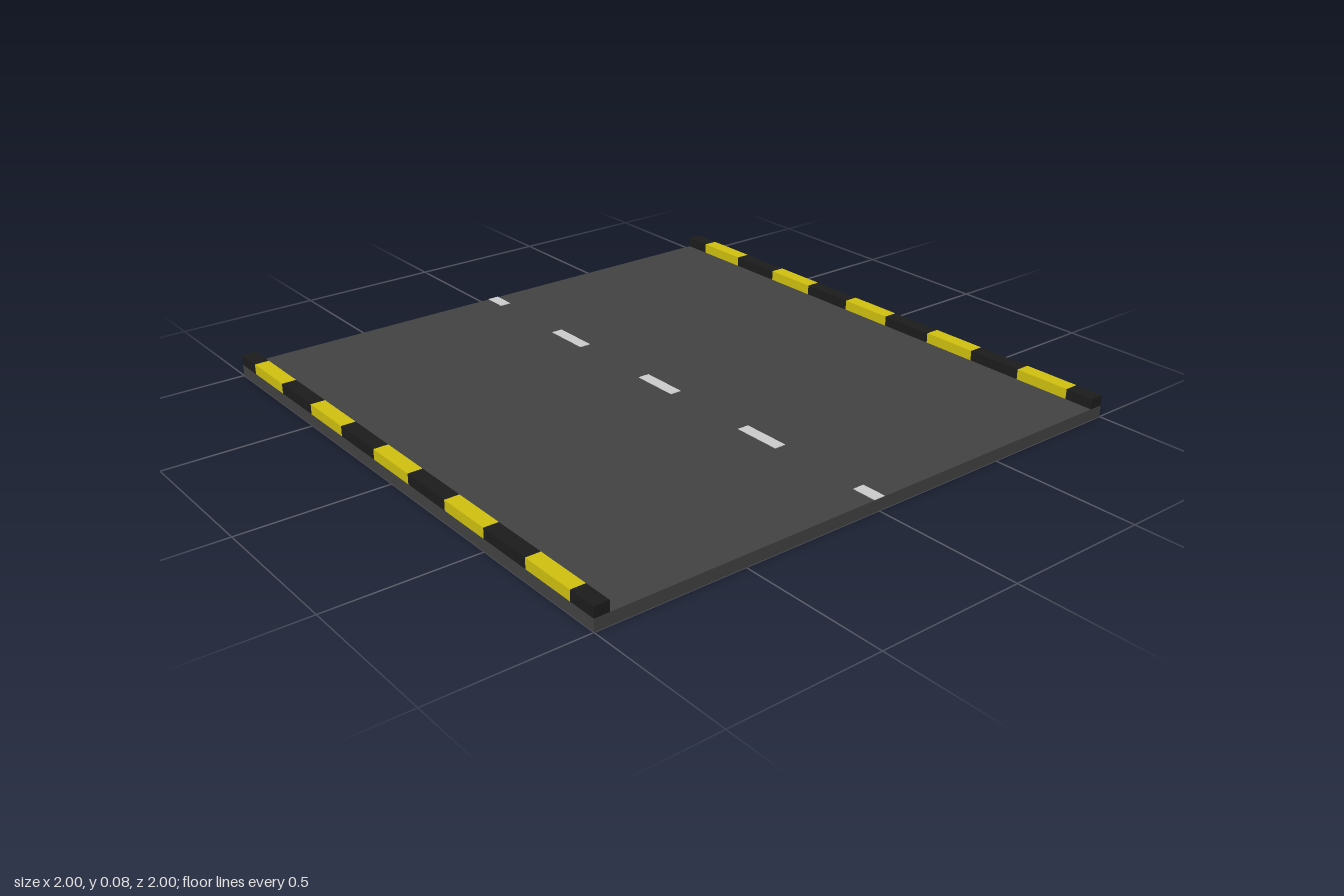
import * as THREE from 'three';

const SLAB_H = 0.04, KERB_H = 0.035, KERB_W = 0.05, STEP = 0.2;

export function createModel() {
  const model = new THREE.Group();
  model.name = 'roadSection';

  const asphalt = new THREE.MeshStandardMaterial({ color: 0x424242 });
  const black = new THREE.MeshStandardMaterial({ color: 0x1c1c1c });
  const yellow = new THREE.MeshStandardMaterial({ color: 0xd0c010 });
  const white = new THREE.MeshStandardMaterial({ color: 0xeeeeee });

  // Box spanning z0..z1, standing on height y
  const addBox = (parent, name, material, w, h, x, y, z0, z1) => {
    const mesh = new THREE.Mesh(new THREE.BoxGeometry(w, h, z1 - z0), material);
    mesh.name = name;
    mesh.position.set(x, y + h / 2, (z0 + z1) / 2);
    parent.add(mesh);
  };

  // Road slab
  addBox(model, 'roadSlab', asphalt, 2, SLAB_H, 0, 0, -1, 1);

  // Striped kerbs: alternating blocks, with half-length black blocks at both ends
  for (const side of [1, -1]) {
    const kerb = new THREE.Group();
    kerb.name = side > 0 ? 'leftKerb' : 'rightKerb';
    for (let i = 0; i <= 10; i++) {
      const mid = -1 + i * STEP;
      const z0 = Math.max(-1, mid - STEP / 2), z1 = Math.min(1, mid + STEP / 2);
      const odd = i % 2 === 1;
      addBox(kerb, odd ? 'yellowKerbBlock' : 'blackKerbBlock', odd ? yellow : black,
        KERB_W, KERB_H, side * (1 - KERB_W / 2), SLAB_H, z0, z1);
    }
    model.add(kerb);
  }

  // Dashed centre line, with the end dashes cut at the slab edge
  const line = new THREE.Group();
  line.name = 'centreLine';
  for (let i = -2; i <= 2; i++) {
    const mid = i * 0.5;
    addBox(line, 'laneDash', white, 0.04, 0.002, 0, SLAB_H,
      Math.max(-1, mid - 0.085), Math.min(1, mid + 0.085));
  }
  model.add(line);

  return model;
}
